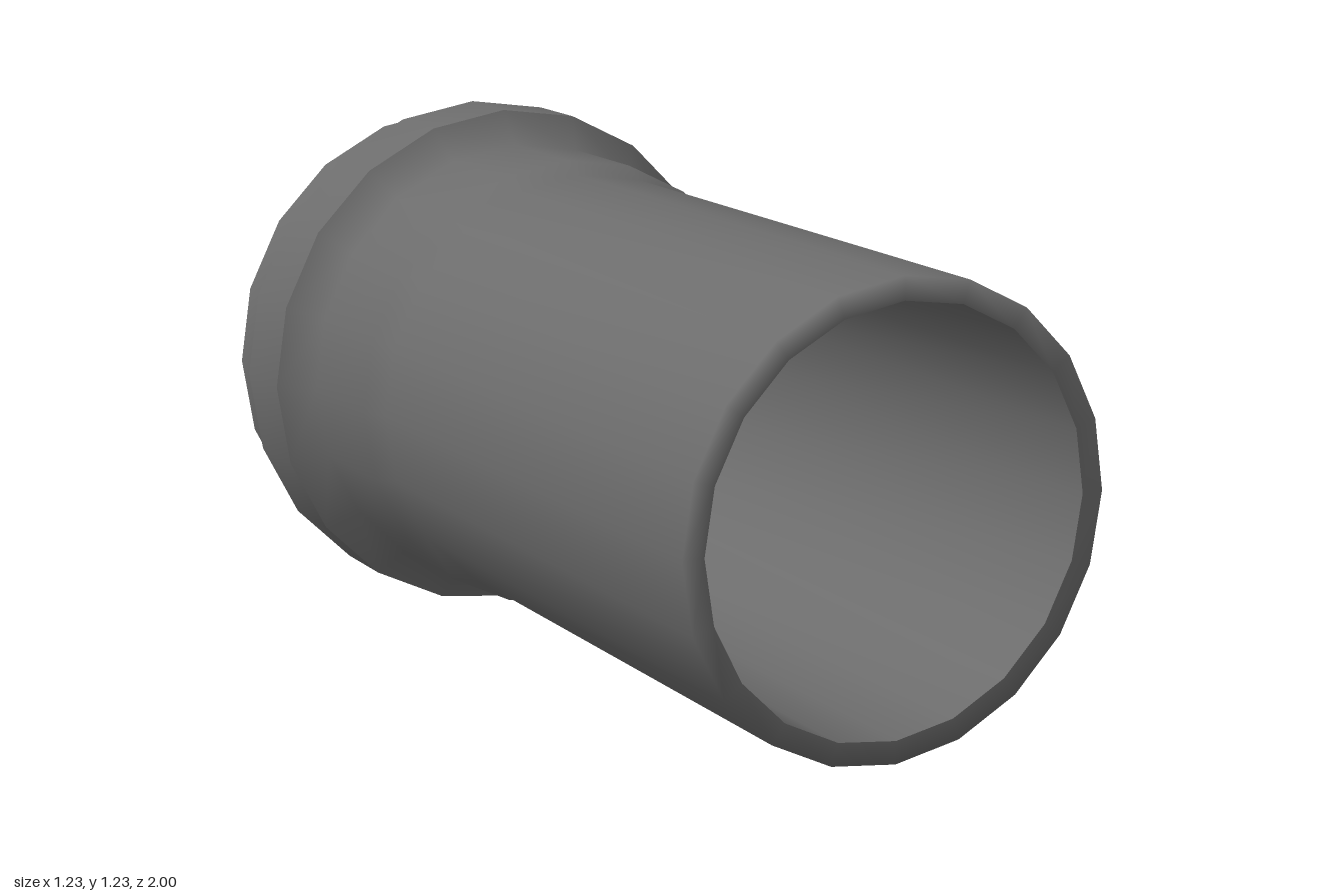
import * as THREE from 'three';
import { mergeVertices } from 'three/addons/utils/BufferGeometryUtils.js';

const material = new THREE.MeshStandardMaterial({ color: 0x6c6c6c });

// Twenty-sided revolve of [radius, z] points along z, smooth within one shell
function shell(name, points) {
  const lathe = new THREE.LatheGeometry(points.map(([r, z]) => new THREE.Vector2(r, z)), 20);
  lathe.rotateX(Math.PI / 2);
  lathe.deleteAttribute('normal');
  lathe.deleteAttribute('uv');
  const geometry = mergeVertices(lathe);
  geometry.computeVertexNormals();
  const mesh = new THREE.Mesh(geometry, material);
  mesh.name = name;
  return mesh;
}

export function createModel() {
  const group = new THREE.Group();
  group.name = 'socketPipe';

  const wall = 0.051;
  const lining = (points) => points.map(([r, z]) => [r - wall, z]).reverse();

  // Outer profiles, from the socket mouth to the plain end
  const collar = [[0.577, -1], [0.577, -0.915]];
  const seal = [[0.577, -0.915], [0.616, -0.865], [0.616, -0.70]];
  const pipe = [
    [0.616, -0.70], [0.539, -0.643], [0.539, -0.38],
    [0.513, -0.322], [0.513, 1],
  ];

  group.add(
    // Outside, with the plain end's rim rounded softly into the pipe
    shell('mouthCollar', collar),
    shell('sealBulge', seal),
    shell('pipe', [...pipe, [0.513 - wall, 1]]),
    // Inside at constant wall thickness
    shell('collarLining', lining(collar)),
    shell('sealGroove', lining(seal)),
    shell('pipeBore', lining(pipe)),
    // Flat face of the mouth
    shell('mouthRim', [[0.577 - wall, -1], [0.577, -1]])
  );

  group.children.forEach((part) => { part.position.y = 0.616; });
  return group;
}
